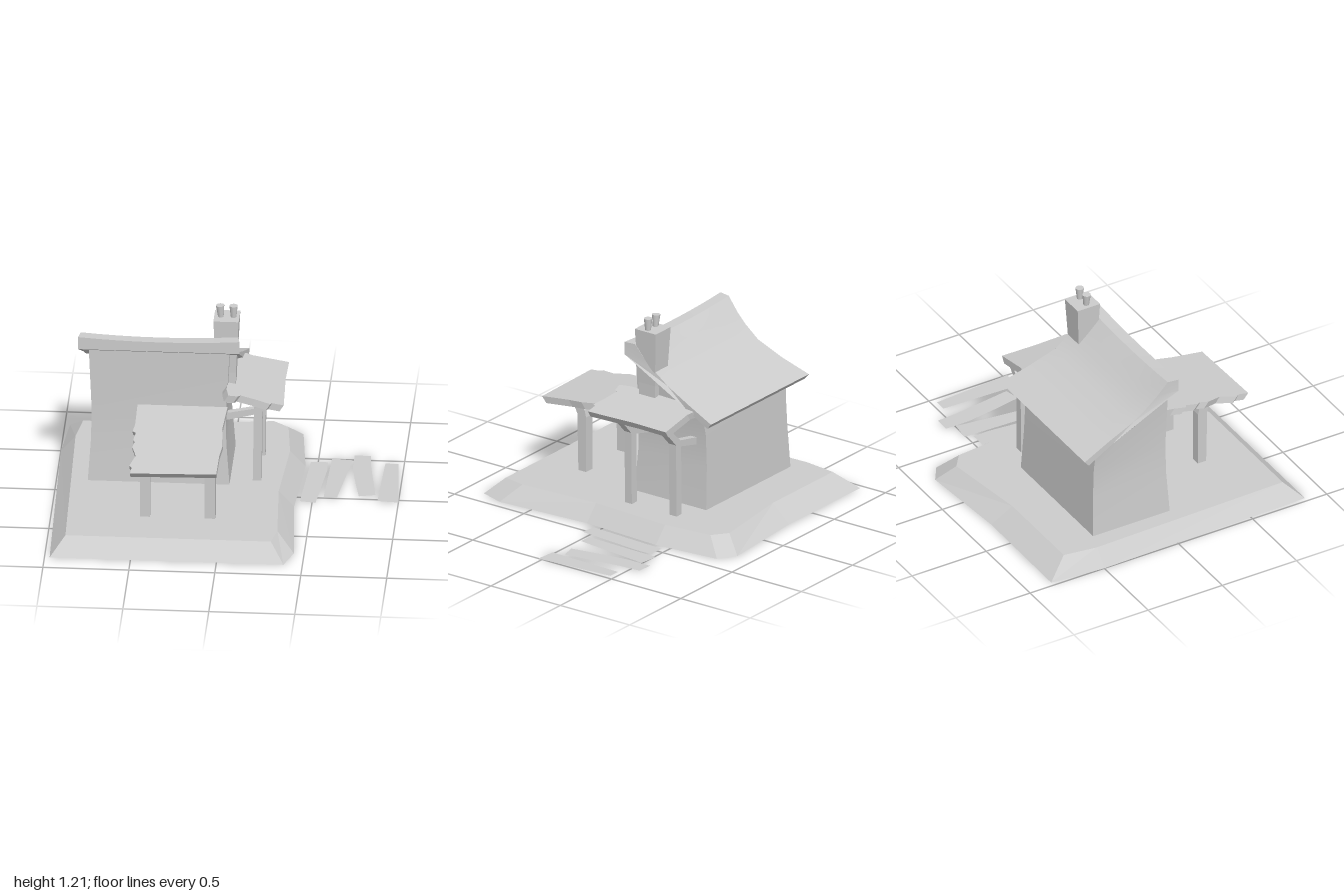
import * as THREE from 'three';
import { toCreasedNormals } from 'three/addons/utils/BufferGeometryUtils.js';

const clay = new THREE.MeshStandardMaterial({ color: 0xcccccc, side: THREE.DoubleSide });
clay.name = 'clayGrey';

const shapeOf = (pts) => new THREE.Shape(pts.map(([a, b]) => new THREE.Vector2(a, b)));

// Move every vertex by a rule
function warp(geo, rule) {
  const p = geo.attributes.position;
  for (let i = 0; i < p.count; i++) p.setXYZ(i, ...rule(p.getX(i), p.getY(i), p.getZ(i)));
  geo.computeVertexNormals();
  return geo;
}

// Skin over rings of [x, y, z] corners (bottom to top), closed on top, open below
function skin(rings) {
  const out = [];
  const n = rings[0].length;
  for (let r = 0; r < rings.length - 1; r++) {
    for (let i = 0; i < n; i++) {
      const j = (i + 1) % n, a = rings[r], b = rings[r + 1];
      out.push(...a[i], ...a[j], ...b[j], ...a[i], ...b[j], ...b[i]);
    }
  }
  const top = rings[rings.length - 1];
  const mid = [0, 1, 2].map((k) => top.reduce((s, p) => s + p[k], 0) / n);
  for (let i = 0; i < n; i++) out.push(...mid, ...top[i], ...top[(i + 1) % n]);
  const geo = new THREE.BufferGeometry();
  geo.setAttribute('position', new THREE.Float32BufferAttribute(out, 3));
  geo.computeVertexNormals();
  return geo;
}

// Four-cornered ring, counter-clockwise from above
const rect = (x0, x1, zBack, zFront, yBack, yFront = yBack) => [
  [x0, yBack, zBack], [x0, yFront, zFront], [x1, yFront, zFront], [x1, yBack, zBack],
];

// Thin tilted sheet from an [x, z] outline; its top follows topY(x, z)
function slab(outline, thick, topY, lean) {
  const geo = new THREE.ExtrudeGeometry(shapeOf(outline.map(([x, z]) => [x, -z])), { depth: thick, bevelEnabled: false });
  geo.rotateX(-Math.PI / 2);
  return warp(geo, (x, y, z) => {
    const under = 1 - y / thick;
    return [x + lean[0] * under, topY(x, z) + y - thick, z + lean[1] * under];
  });
}

// Prism with an [x, y] profile, running along z
function prismZ(pts, z0, z1) {
  return new THREE.ExtrudeGeometry(shapeOf(pts), { depth: z1 - z0, bevelEnabled: false }).translate(0, 0, z0);
}

// Prism with a [z, y] profile, running along x
function prismX(pts, x0, x1, steps = 1) {
  const geo = new THREE.ExtrudeGeometry(shapeOf(pts.map(([z, y]) => [-z, y])), { depth: x1 - x0, steps, bevelEnabled: false });
  return geo.rotateY(Math.PI / 2).translate(x0, 0, 0);
}

export function createModel() {
  const model = new THREE.Group();
  model.name = 'cottage';
  const add = (name, geo) => {
    const mesh = new THREE.Mesh(geo, clay);
    mesh.name = name;
    model.add(mesh);
    return mesh;
  };

  // Ground plinth with sloping sides, hollow below
  const foot = [[-0.97, -0.84], [-1, -0.5], [-0.97, 0.87], [0.39, 0.87], [0.44, 0.72], [0.4, 0.12],
    [0.43, -0.4], [0.39, -0.81], [0.285, -0.88], [-0.28, -0.835]];
  const crown = [[-0.885, -0.705], [-0.915, -0.5], [-0.885, 0.77], [0.31, 0.77], [0.338, 0.63], [0.31, 0.12],
    [0.34, -0.4], [0.31, -0.705], [0.22, -0.775], [-0.3, -0.705]];
  add('plinth', skin([foot.map(([x, z]) => [x, 0, z]), crown.map(([x, z]) => [x, 0.097, z])]));

  // House walls, pinched at the middle and cut to the roof slope
  add('walls', toCreasedNormals(skin([
    rect(-0.805, 0.02, -0.46, 0.057, 0.09),
    rect(-0.787, 0.0, -0.45, 0.043, 0.36),
    rect(-0.783, -0.002, -0.442, 0.04, 0.55),
    rect(-0.8, 0.02, -0.435, 0.05, 0.68, 0.965),
  ]), 0.4));

  // Main roof: curved slope with a sagging ridge and waisted ends
  const roofProfile = [[0.085, 1.04], [0.018, 1.038], [-0.05, 0.957], [-0.115, 0.895], [-0.205, 0.825], [-0.37, 0.752],
    [-0.55, 0.68], [-0.52, 0.645], [-0.35, 0.722], [-0.2, 0.79], [-0.06, 0.876], [0.085, 0.962]];
  const roof = warp(prismX(roofProfile, 0, 1, 8), (t, y, z) => {
    const waist = 0.03 * Math.max(0, 1 - ((z + 0.22) / 0.32) ** 2);
    const left = -0.862 + waist, right = (z < -0.3 ? 0.095 : 0.082) - waist;
    const sag = y > 0.97 ? 0.018 * 4 * t * (1 - t) : 0;
    return [left + (right - left) * t, y - sag, z];
  });
  add('mainRoof', toCreasedNormals(roof, 0.45));

  // Chimney, widening upward, with two pots
  add('chimney', skin([
    rect(-0.06, 0.05, -0.113, 0.0, 0.6),
    rect(-0.062, 0.053, -0.115, 0.002, 0.8),
    rect(-0.077, 0.07, -0.133, 0.018, 1.135),
  ]));
  for (const [x, tilt] of [[-0.04, -0.06], [0.036, 0]]) {
    const pot = add('chimneyPot', new THREE.CylinderGeometry(0.025, 0.016, 0.08, 10));
    pot.position.set(x, 1.167, -0.053);
    pot.rotation.z = -tilt;
  }

  // Front porch roof with ragged edges
  const porchOutline = [[-0.515, 0.055], [-0.515, 0.26], [-0.525, 0.33], [-0.505, 0.345], [-0.515, 0.42], [-0.505, 0.44],
    [-0.515, 0.49], [-0.49, 0.58], [-0.52, 0.68], [-0.505, 0.7], [-0.51, 0.76], [-0.01, 0.745],
    [-0.005, 0.55], [0.007, 0.45], [-0.007, 0.28], [0.008, 0.055]];
  add('porchRoof', slab(porchOutline, 0.037, (x, z) => 0.607 - 0.132 * z, [0, -0.03]));

  // Front porch posts, curving forward at the top
  const frontProfile = [[0.5, 0.08], [0.508, 0.45], [0.525, 0.485], [0.55, 0.505], [0.475, 0.51], [0.455, 0.48], [0.445, 0.44], [0.445, 0.08]];
  for (const [x0, x1] of [[-0.47, -0.412], [-0.095, -0.033]]) add('porchPost', prismX(frontProfile, x0, x1));

  // Side lean-to roof
  const sideOutline = [[0.0, -0.41], [0.09, -0.41], [0.12, -0.398], [0.335, -0.4], [0.33, -0.18], [0.342, 0.155],
    [0.275, 0.155], [0.265, 0.172], [0.18, 0.15], [0.09, 0.135], [0.075, 0.155], [0.02, 0.165], [0.005, 0.09]];
  add('sideRoof', slab(sideOutline, 0.04, (x) => 0.735 - 0.18 * x, [-0.025, 0]));

  // Side posts bending outward, each with a brace back to the wall
  const sideProfile = [[0.15, 0.08], [0.2, 0.08], [0.206, 0.545], [0.285, 0.63], [0.29, 0.65], [0.24, 0.655], [0.225, 0.62], [0.157, 0.56]];
  const braceProfile = [[-0.01, 0.48], [0.16, 0.522], [0.16, 0.56], [-0.01, 0.525]];
  for (const [z0, z1] of [[-0.057, -0.008], [-0.38, -0.328]]) {
    add('sidePost', prismZ(sideProfile, z0, z1));
    add('sideBrace', prismZ(braceProfile, z0 + 0.006, z1 - 0.006));
  }

  // Flat path planks on the ground
  const planks = [
    [[0.457, -0.46], [0.556, -0.46], [0.56, -0.36], [0.52, 0.064], [0.428, 0.048]],
    [[0.577, -0.51], [0.698, -0.495], [0.64, -0.015], [0.562, -0.015]],
    [[0.705, -0.56], [0.8, -0.556], [0.81, -0.42], [0.86, -0.06], [0.765, -0.037], [0.735, -0.2], [0.705, -0.4]],
    [[0.89, -0.467], [0.965, -0.465], [1.0, 0.027], [0.877, 0.016]],
  ];
  for (const outline of planks) {
    add('pathPlank', new THREE.ShapeGeometry(shapeOf(outline.map(([x, z]) => [x, -z]))).rotateX(-Math.PI / 2));
  }

  return model;
}
